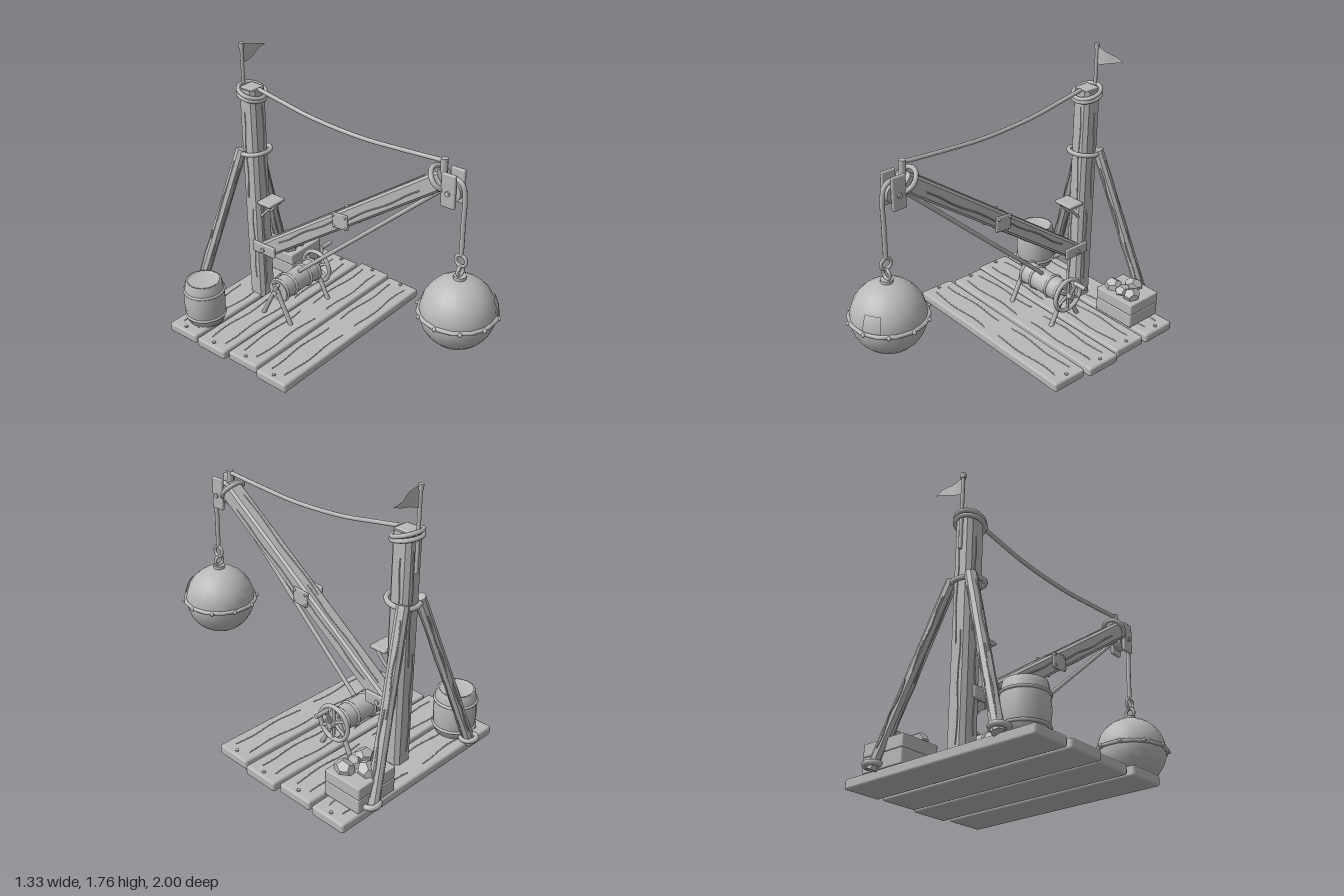
import * as THREE from 'three';
import { RoundedBoxGeometry } from 'three/addons/geometries/RoundedBoxGeometry.js';

export function createModel() {
  const model = new THREE.Group();
  model.name = 'wreckingCrane';
  const grey = new THREE.MeshStandardMaterial({ name: 'plainGrey', color: 0xb8b8b8 });
  const greySheet = new THREE.MeshStandardMaterial({ name: 'plainGreySheet', color: 0xb8b8b8, side: THREE.DoubleSide });
  const V = (x, y, z) => new THREE.Vector3(x, y, z);

  const group = (name, parent = model) => {
    const g = new THREE.Group();
    g.name = name;
    parent.add(g);
    return g;
  };
  const add = (name, geo, x = 0, y = 0, z = 0, parent = model) => {
    const m = new THREE.Mesh(geo, grey);
    m.name = name;
    m.position.set(x, y, z);
    parent.add(m);
    return m;
  };
  const box = (name, w, h, d, x, y, z, parent, r = 0.008) =>
    add(name, new RoundedBoxGeometry(w, h, d, 1, Math.min(r, w / 2.1, h / 2.1, d / 2.1)), x, y, z, parent);
  const tube = (name, pts, r, parent, seg = 24) =>
    add(name, new THREE.TubeGeometry(new THREE.CatmullRomCurve3(pts), seg, r, 8), 0, 0, 0, parent);
  // Straight round rod between two points
  const rod = (name, a, b, r, parent, sides = 10) => {
    const m = add(name, new THREE.CylinderGeometry(r, r, a.distanceTo(b), sides), 0, 0, 0, parent);
    m.position.copy(a).lerp(b, 0.5);
    m.quaternion.setFromUnitVectors(V(0, 1, 0), b.clone().sub(a).normalize());
    return m;
  };
  // Torus lying flat, with a tilt about x
  const ring = (name, R, r, x, y, z, tilt = 0, parent = model, seg = 24) => {
    const m = add(name, new THREE.TorusGeometry(R, r, 8, seg), x, y, z, parent);
    m.rotation.x = Math.PI / 2 + tilt;
    return m;
  };
  // Thin wavy wood grain running along local z or x
  const grain = (parent, from, to, seed) => {
    const pts = [];
    for (let i = 0; i <= 6; i++) {
      const p = from.clone().lerp(to, i / 6);
      if (Math.abs(from.z - to.z) > Math.abs(from.x - to.x)) p.x += 0.005 * Math.sin(i * 1.7 + seed);
      else p.z += 0.008 * Math.sin(i * 1.3 + seed);
      pts.push(p);
    }
    tube('woodGrain', pts, 0.004, parent, 18);
  };
  // Timber with chamfered corners from a to b
  const beam = (name, a, b, w, h, c) => {
    const g = group(name);
    const x = w / 2, y = h / 2, len = a.distanceTo(b);
    const s = new THREE.Shape([[x - c, -y], [x, c - y], [x, y - c], [x - c, y], [c - x, y], [-x, y - c], [-x, c - y], [c - x, -y]]
      .map(p => new THREE.Vector2(...p)));
    add(name + 'Timber', new THREE.ExtrudeGeometry(s, { depth: len, bevelEnabled: false }), 0, 0, 0, g);
    for (const side of [-1, 1]) {
      grain(g, V(0.15 * w, side * y, 0.06 * len), V(0.15 * w, side * y, 0.5 * len), side);
      grain(g, V(-0.12 * w, side * y, 0.45 * len), V(-0.12 * w, side * y, 0.93 * len), side + 2);
      const f = group('sideGrain', g);
      f.rotation.z = Math.PI / 2;
      grain(f, V(0.1 * h, side * x, 0.1 * len), V(0.1 * h, side * x, 0.45 * len), 3);
      grain(f, V(-0.1 * h, side * x, 0.5 * len), V(-0.1 * h, side * x, 0.9 * len), 5);
    }
    g.position.copy(a);
    g.lookAt(b);
    return g;
  };

  // Deck of four slightly uneven planks
  [[0, -0.83, 1.3, -0.005], [-0.01, -0.575, 1.3, -0.008], [0.013, -0.325, 1.3, -0.014], [-0.015, -0.07, 1.3, -0.018]]
    .forEach(([x, z, w, turn], i) => {
      const g = group('plank' + (i + 1));
      g.position.set(x, 0, z);
      g.rotation.y = turn;
      box('plankBoard', w, 0.06, 0.235, 0, 0.034, 0, g, 0.014);
      for (const s of [-1, 1]) {
        for (const e of [-1, 1]) grain(g, V(e * 0.06, 0.064, s * 0.06), V(e * 0.58, 0.064, s * 0.055), i + s + e);
        add('plankNail', new THREE.CylinderGeometry(0.011, 0.011, 0.012, 8), s * 0.615, 0.066, 0, g);
      }
    });

  // Mast, its rope lashings and the two back struts
  beam('mast', V(0, 0.05, -0.75), V(0, 1.5, -0.757), 0.125, 0.125, 0.022);
  box('mastCap', 0.1, 0.02, 0.1, 0, 1.5, -0.757);
  for (const d of [0, 0.025]) ring('topLashing', 0.085, 0.013, 0, 1.455 + d, -0.755, d ? 0.32 : 0.22);
  ring('strutLashing', 0.092, 0.015, 0, 1.088, -0.75, -0.13);
  for (const s of [-1, 1]) {
    beam('backStrut', V(s * 0.43, 0.06, -0.953), V(s * 0.068, 1.1, -0.805), 0.07, 0.06, 0.018);
    ring('strutFootRope', 0.045, 0.017, s * 0.43, 0.09, -0.945, 0.1);
  }

  // Step on the mast with its brace
  box('mastStep', 0.14, 0.022, 0.11, 0, 0.764, -0.64);
  for (const s of [-1, 1]) rod('stepBrace', V(s * 0.04, 0.755, -0.6), V(s * 0.04, 0.66, -0.69), 0.009);

  // Flagpole and pennant
  rod('flagpole', V(0, 1.27, -0.825), V(0, 1.74, -0.825), 0.011);
  rod('flagpoleCap', V(0, 1.73, -0.825), V(0, 1.762, -0.825), 0.016);
  const flag = new THREE.PlaneGeometry(0.2, 0.12, 10, 4);
  const fp = flag.attributes.position;
  for (let i = 0; i < fp.count; i++) {
    const t = fp.getX(i) / 0.2 + 0.5;
    fp.setXYZ(i, 0.01 + 0.2 * t, 1.695 + fp.getY(i) * (1 - t), -0.825 + 0.012 * Math.sin(t * 6));
  }
  flag.computeVertexNormals();
  add('pennant', flag).material = greySheet;

  // Boom with side plates
  beam('boom', V(0, 0.42, -0.665), V(0, 1.345, 0.635), 0.105, 0.108, 0.014);
  for (const s of [-1, 1]) {
    box('heelPlate', 0.02, 0.075, 0.185, s * 0.066, 0.438, -0.657);
    const plate = group('splicePlate');
    plate.position.set(s * 0.06, 0.862, -0.038);
    plate.rotation.x = -0.08;
    box('splicePlateBody', 0.016, 0.1, 0.115, 0, 0, 0, plate);
    for (const y of [-0.035, 0.035]) for (const z of [-0.043, 0.043])
      add('plateRivet', new THREE.SphereGeometry(0.009, 8, 6), s * 0.008, y, z, plate);
    box('pulleyCheek', 0.022, 0.2, 0.09, s * 0.045, 1.3, 0.685);
    for (const [y, z] of [[0.435, -0.66], [1.287, 0.687]]) {
      const x = y < 1 ? 0.07 : 0.05;
      rod('sideBolt', V(s * x, y, z), V(s * (x + 0.016), y, z), 0.015);
    }
  }
  rod('heelPin', V(-0.06, 0.435, -0.66), V(0.06, 0.435, -0.66), 0.02);
  ring('boomHeadLashing', 0.073, 0.014, 0, 1.335, 0.605, 0.85);

  // Pulley wheel and hoist rope
  rod('pulleyWheel', V(-0.03, 1.29, 0.69), V(0.03, 1.29, 0.69), 0.06, model, 20);
  tube('hoistRope', [V(0, 0.91, 0.76), V(0, 1.1, 0.76), V(0, 1.27, 0.76), V(0, 1.335, 0.742), V(0, 1.36, 0.69), V(0, 1.345, 0.64)], 0.014, model, 40);
  tube('stayRope', [V(0, 1.44, 0.62), V(0, 1.422, 0.35), V(0, 1.41, 0.05), V(0, 1.432, -0.3), V(0, 1.47, -0.53), V(0, 1.5, -0.7)], 0.013, model, 40);
  rod('stayRopeKnot', V(0, 1.37, 0.622), V(0, 1.455, 0.622), 0.02);
  rod('winchRope', V(0, 0.335, -0.42), V(0, 1.27, 0.62), 0.013);

  // Ball with linked rings, neck, riveted belt and patch
  const ball = group('wreckingBall');
  ball.position.set(0, 0.545, 0.76);
  add('ballBody', new THREE.SphereGeometry(0.22, 20, 14), 0, 0, 0, ball);
  ring('ballBelt', 0.225, 0.013, 0, 0, 0, 0, ball, 14);
  for (let i = 0; i < 10; i++) {
    const a = (i + 0.5) * Math.PI / 5;
    add('beltRivet', new THREE.SphereGeometry(0.013, 8, 6), 0.235 * Math.sin(a), 0, 0.235 * Math.cos(a), ball);
  }
  const patch = add('ballPatch', new THREE.SphereGeometry(0.229, 6, 6, 1.85, 0.48, 1.05, 0.44), 0, 0, 0, ball);
  patch.material = greySheet;
  rod('ballNeck', V(0, 0.2, 0), V(0, 0.235, 0), 0.037, ball, 12);
  add('lowerLink', new THREE.TorusGeometry(0.03, 0.01, 8, 20), 0, 0.265, 0, ball);
  add('upperLink', new THREE.TorusGeometry(0.034, 0.01, 8, 20), 0, 0.33, 0, ball).rotation.y = Math.PI / 2;

  // Winch: drum, A-frames, spoked wheel and crank
  const winch = group('winch');
  winch.position.set(0, 0.257, -0.453);
  const alongX = (name, r, x0, x1, sides = 20) => rod(name, V(x0, 0, 0), V(x1, 0, 0), r, winch, sides);
  alongX('drum', 0.073, -0.17, 0.17);
  alongX('axle', 0.02, -0.205, 0.245, 10);
  for (const x of [-0.155, -0.07, 0.07, 0.155])
    add('drumBand', new THREE.TorusGeometry(0.073, 0.009, 8, 20), x, 0, 0, winch).rotation.y = Math.PI / 2;
  for (const x of [-0.188, 0.18]) for (const s of [-1, 1])
    rod('winchLeg', V(x, 0.06, -s * 0.015), V(x, -0.2, s * 0.115), 0.015, winch, 8);
  add('wheelRim', new THREE.TorusGeometry(0.107, 0.014, 8, 24), 0.205, 0, 0, winch).rotation.y = Math.PI / 2;
  for (let i = 0; i < 6; i++) {
    const a = i * Math.PI / 3;
    rod('wheelSpoke', V(0.205, 0, 0), V(0.205, 0.105 * Math.cos(a), 0.105 * Math.sin(a)), 0.009, winch, 8);
  }
  rod('crankArm', V(0.225, 0, 0), V(0.27, 0.113, 0), 0.01, winch);
  rod('crankHandle', V(0.26, 0.113, 0), V(0.352, 0.113, 0), 0.014, winch);

  // Barrel with hoops
  const barrel = group('barrel');
  barrel.position.set(-0.465, 0.065, -0.807);
  const profile = [[0, 0], [0.112, 0], [0.124, 0.06], [0.13, 0.14], [0.124, 0.22], [0.112, 0.285], [0.098, 0.285], [0.098, 0.27], [0, 0.27]];
  const staves = new THREE.LatheGeometry(profile.map(p => new THREE.Vector2(...p)), 20);
  add('barrelStaves', staves, 0, 0, 0, barrel);
  for (const y of [0.05, 0.22]) ring('barrelHoop', 0.124, 0.009, 0, y, 0, 0, barrel);

  // Crate of rocks
  box('crateLower', 0.295, 0.09, 0.25, 0.378, 0.108, -0.815);
  box('crateUpper', 0.295, 0.076, 0.25, 0.378, 0.19, -0.815);
  [[0.3, 0.24, -0.77, 0.062], [0.38, 0.235, -0.77, 0.055], [0.455, 0.24, -0.77, 0.062], [0.385, 0.24, -0.865, 0.062]]
    .forEach(([x, y, z, r], i) => {
      const rock = add('rock', new THREE.DodecahedronGeometry(r, 0), x, y, z);
      rock.rotation.set(i * 1.1, i * 0.7, i * 1.9);
      rock.scale.set(1.05, 0.85, 0.85);
    });
  return model;
}
